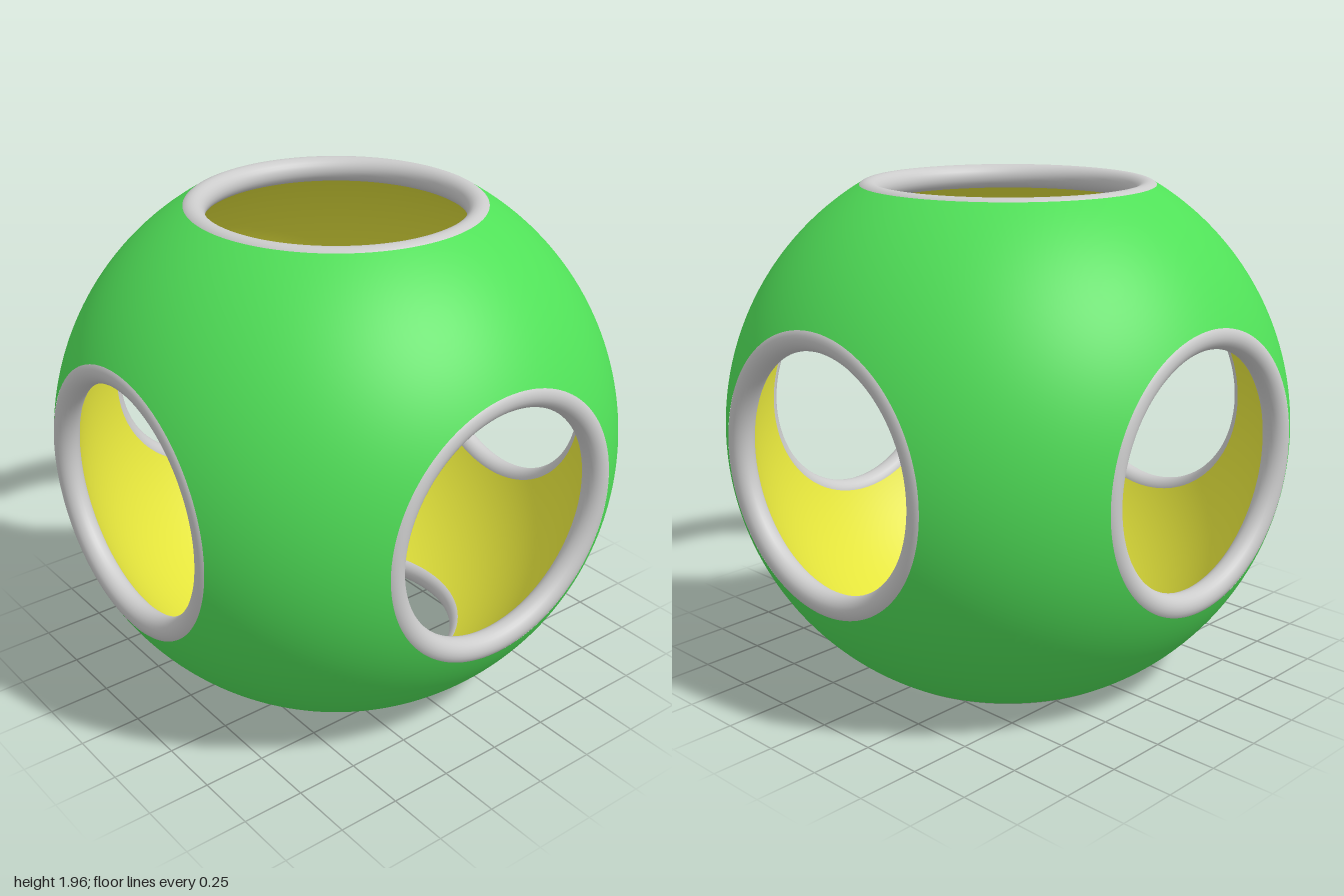
import * as THREE from 'three';

const OUTER = 1.1235;   // outer shell radius
const INNER = 1.026;    // inner lining radius
const CENTRE = 0.98;    // height of the ball centre
const TUBE = 0.05;      // half thickness of the rounded rims

// One sixth of a sphere, facing +z: from a round hole out to a square border.
// With inward set, the faces look towards the ball centre.
function patchGeometry(radius, holeAngle, inward, around = 128, steps = 16) {
  const pos = [], nor = [], idx = [];
  const edge = new THREE.Vector3(), border = new THREE.Vector3(), p = new THREE.Vector3();
  const sign = inward ? -1 : 1;
  for (let i = 0; i <= around; i++) {
    const a = (i / around) * Math.PI * 2, c = Math.cos(a), s = Math.sin(a);
    const k = Math.max(Math.abs(c), Math.abs(s));
    edge.set(c * Math.sin(holeAngle), s * Math.sin(holeAngle), Math.cos(holeAngle));
    border.set(c / k, s / k, 1).normalize();
    for (let j = 0; j <= steps; j++) {
      p.lerpVectors(edge, border, j / steps).normalize();
      nor.push(p.x * sign, p.y * sign, p.z * sign);
      pos.push(p.x * radius, p.y * radius, p.z * radius);
      if (i < around && j < steps) {
        const q = i * (steps + 1) + j, n = q + steps + 1;
        if (inward) idx.push(q, n + 1, q + 1, q, n, n + 1);
        else idx.push(q, q + 1, n + 1, q, n + 1, n);
      }
    }
  }
  const g = new THREE.BufferGeometry();
  g.setAttribute('position', new THREE.Float32BufferAttribute(pos, 3));
  g.setAttribute('normal', new THREE.Float32BufferAttribute(nor, 3));
  g.setIndex(idx);
  return g;
}

export function createModel() {
  const green = new THREE.MeshStandardMaterial({ color: 0x50e058 });
  const yellow = new THREE.MeshStandardMaterial({ color: 0xe4e43c });
  const grey = new THREE.MeshStandardMaterial({ color: 0xcccccc });

  // Side openings are a little smaller than the top and bottom ones
  const side = { radius: 0.503, height: 0.949 };
  const pole = { radius: 0.542, height: 0.928 };
  const openings = [
    ['front', [0, 0, 1], side], ['back', [0, 0, -1], side],
    ['left', [1, 0, 0], side], ['right', [-1, 0, 0], side],
    ['top', [0, 1, 0], pole], ['bottom', [0, -1, 0], pole],
  ];
  for (const o of [side, pole]) {
    const holeAngle = Math.atan2(o.radius, o.height) + 0.008;
    o.shell = patchGeometry(OUTER, holeAngle, false);
    o.lining = patchGeometry(INNER, holeAngle, true);
    o.rim = new THREE.TorusGeometry(o.radius, TUBE, 24, 128);
  }

  const model = new THREE.Group();
  model.name = 'hollowBall';
  for (const [name, axis, o] of openings) {
    const part = new THREE.Group();
    part.name = name + 'Section';
    const add = (geometry, material, label) => {
      const mesh = new THREE.Mesh(geometry, material);
      mesh.name = name + label;
      part.add(mesh);
      return mesh;
    };
    add(o.shell, green, 'OuterShell');
    add(o.lining, yellow, 'InnerLining');
    add(o.rim, grey, 'OpeningRim').position.z = o.height;
    part.quaternion.setFromUnitVectors(new THREE.Vector3(0, 0, 1), new THREE.Vector3(...axis));
    part.position.y = CENTRE;
    model.add(part);
  }
  return model;
}
